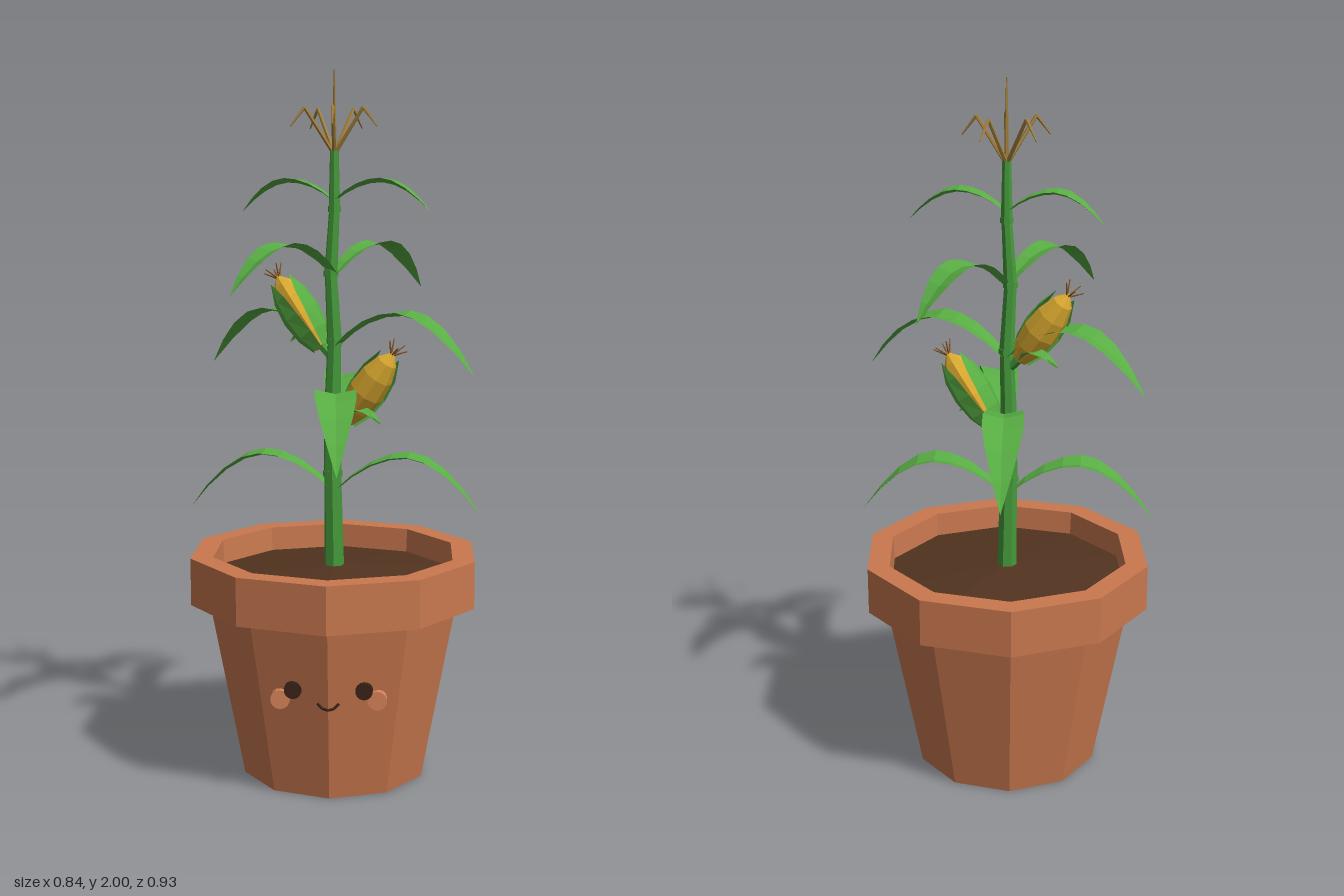
import * as THREE from 'three';

const V = (x, y, z) => new THREE.Vector3(x, y, z);
const UP = V(0, 1, 0);

function paint(name, color, side = THREE.FrontSide) {
  const m = new THREE.MeshStandardMaterial({ color, flatShading: true, side });
  m.name = name;
  return m;
}

const add = (parent, name, geometry, material) => {
  const mesh = new THREE.Mesh(geometry, material);
  mesh.name = name;
  parent.add(mesh);
  return mesh;
};

// tapered rod between two points
function rod(parent, name, a, b, ra, rb, sides, material) {
  const d = b.clone().sub(a);
  const mesh = add(parent, name, new THREE.CylinderGeometry(rb, ra, d.length(), sides), material);
  mesh.position.copy(a).add(b).multiplyScalar(0.5);
  mesh.quaternion.setFromUnitVectors(UP, d.normalize());
  return mesh;
}

// surface through rows of points that all have the same length
function skin(rows) {
  const n = rows[0].length, index = [];
  for (let i = 0; i < rows.length - 1; i++) {
    for (let j = 0; j < n - 1; j++) {
      const a = i * n + j, b = a + n;
      index.push(a, b, a + 1, b, b + 1, a + 1);
    }
  }
  const g = new THREE.BufferGeometry().setFromPoints(rows.flat());
  g.setIndex(index);
  g.computeVertexNormals();
  return g;
}

// arching blade with a shallow fold along its midrib
function leafGeometry(tipX, tipZ, peak, drop, half) {
  const t = [0, 0.12, 0.25, 0.38, 0.5, 0.62, 0.75, 0.88, 1];
  const w = [0.3, 0.55, 0.75, 0.9, 1, 1, 0.8, 0.45, 0];
  const length = Math.hypot(tipX, tipZ), sx = -tipZ / length, sz = tipX / length;
  return skin(t.map((s, i) => {
    const k = 2 * s - 1;
    const y = peak - (k < 0 ? 0.65 * drop * k * k : drop * Math.pow(k, 1.8));
    return [1, 0, -1].map(e => V(
      tipX * s + sx * e * half * w[i],
      y + (e ? 0 : -0.012 * w[i]),
      tipZ * s + sz * e * half * w[i]));
  }));
}

// husk panel lying against the cob
function huskGeometry(angle, length) {
  const v = [0, 0.2, 0.45, 0.7, 0.92];
  const r = [0.03, 0.05, 0.058, 0.052, 0.036];
  const spread = [0.9, 0.85, 0.75, 0.6, 0];
  return skin(v.map((s, i) => [-1, 0, 1].map(e => {
    const a = angle + e * spread[i];
    return V(Math.sin(a) * r[i], s * length, Math.cos(a) * r[i]);
  })));
}

export function createModel() {
  const model = new THREE.Group();
  model.name = 'pottedCornPlant';

  const terracotta = paint('terracotta', 0xc9784f);
  const earth = paint('soil', 0x52331f);
  const stalkGreen = paint('stalkGreen', 0x459a3b);
  const leafGreen = paint('leafGreen', 0x58ad43, THREE.DoubleSide);
  const kernel = paint('kernelYellow', 0xdcab30);
  const straw = paint('tasselStraw', 0xa5823f);
  const silkBrown = paint('silkBrown', 0x8c5a26);
  const dark = paint('faceDark', 0x3a2419);
  const blush = paint('cheekBlush', 0xdb855a);

  // ten-sided pot with a thick rim
  const profile = [[0, 0], [0.268, 0], [0.365, 0.51], [0.42, 0.51], [0.42, 0.645], [0.355, 0.645], [0.35, 0.56]];
  add(model, 'pot', new THREE.LatheGeometry(profile.map(p => new THREE.Vector2(...p)), 10), terracotta);
  const soil = add(model, 'soil', new THREE.ConeGeometry(0.354, 0.03, 10), earth);
  soil.position.y = 0.59;

  // face on the front of the pot
  const face = new THREE.Group();
  face.name = 'face';
  model.add(face);
  for (const s of [-1, 1]) {
    for (const [name, x, y, z, r, mat] of [
      ['eye', 0.097, 0.325, 0.302, 0.024, dark],
      ['cheek', 0.133, 0.295, 0.29, 0.027, blush]]) {
      const disc = add(face, name, new THREE.CylinderGeometry(r, r, 0.024, 14), mat);
      disc.rotation.x = Math.PI / 2;
      disc.position.set(s * x, y, z);
    }
    rod(face, 'mouth', V(0, 0.275, 0.325), V(s * 0.016, 0.278, 0.32), 0.004, 0.004, 5, dark);
    rod(face, 'mouth', V(s * 0.016, 0.278, 0.32), V(s * 0.029, 0.292, 0.318), 0.004, 0.004, 5, dark);
  }

  // jointed stalk
  const nodes = [[0, 0.58], [-0.005, 0.87], [-0.006, 1.05], [0, 1.25], [-0.01, 1.44], [0, 1.62], [0, 1.78]];
  nodes.slice(1).forEach(([x, y], i) => {
    const r = 0.029 - i * 0.0025;
    const a = V(nodes[i][0], nodes[i][1], 0), b = V(x, y, 0);
    rod(model, 'stalk', a, b, r, r - 0.004, 7, stalkGreen);
    if (i < 5) {
      const joint = add(model, 'stalkJoint', new THREE.CylinderGeometry(r, r, 0.016, 7), stalkGreen);
      joint.position.copy(b);
    }
  });

  // leaves in opposite pairs: tip x, tip z, peak height, droop, half width
  for (const leaf of [
    [0.42, 0.052, 0.93, 0.17, 0.052], [-0.42, -0.052, 0.93, 0.17, 0.052],
    [0.03, 0.464, 1.14, 0.2, 0.056], [0.03, -0.464, 1.14, 0.2, 0.056],
    [0.39, 0.172, 1.34, 0.17, 0.055], [-0.37, -0.197, 1.34, 0.17, 0.055],
    [0.245, -0.25, 1.53, 0.14, 0.048], [-0.265, 0.26, 1.53, 0.14, 0.048],
    [0.27, 0.055, 1.705, 0.095, 0.04], [-0.265, -0.055, 1.705, 0.095, 0.04]]) {
    add(model, 'leaf', leafGeometry(...leaf), leafGreen);
  }

  // two ears of corn on opposite sides of the stalk
  const cobProfile = [[0, 0], [0.024, 0.003], [0.043, 0.05], [0.051, 0.105], [0.046, 0.165], [0.03, 0.215], [0, 0.25]];
  for (const [lift, turn] of [[0, 0], [0.205, Math.PI]]) {
    const side = new THREE.Group();
    side.name = 'earOfCorn';
    side.position.y = lift;
    side.rotation.y = turn;
    model.add(side);
    rod(side, 'earStem', V(0, 0.99, 0), V(0.045, 1.04, 0.025), 0.014, 0.014, 6, stalkGreen);

    const ear = new THREE.Group();
    ear.name = 'ear';
    ear.position.set(0.035, 1.025, 0.02);
    ear.quaternion.setFromUnitVectors(UP, V(0.14, 0.21, 0.06).normalize());
    side.add(ear);
    add(ear, 'cob', new THREE.LatheGeometry(cobProfile.map(p => new THREE.Vector2(...p)), 8), kernel);
    for (const a of [2.25, 4.2]) add(ear, 'husk', huskGeometry(a, 0.25), leafGreen);

    // silk at the tip
    for (let i = 0; i < 5; i++) {
      const a = i * 1.257;
      rod(ear, 'silk', V(0, 0.235, 0),
        V(Math.sin(a) * 0.03, 0.275, Math.cos(a) * 0.03), 0.003, 0.0015, 4, silkBrown);
    }

    // husk peeled away and curling down
    const curl = new THREE.QuadraticBezierCurve3(V(0.045, 1.03, 0.035), V(0.06, 1.11, 0.11), V(0.135, 1.035, 0.13));
    const w = [0.018, 0.025, 0.026, 0.018, 0];
    add(side, 'peeledHusk', skin(curl.getPoints(4).map((p, i) => [1, 0, -1].map(e =>
      V(p.x + e * w[i] * 0.8, p.y - (e ? 0 : 0.005), p.z - e * w[i] * 0.6)))), leafGreen);
  }

  // tassel: a central spike and five drooping branches
  rod(model, 'tasselSpike', V(0, 1.76, 0), V(0, 2, 0), 0.008, 0.002, 5, straw);
  for (let i = 0; i < 5; i++) {
    const a = i * Math.PI * 0.4;
    const at = (r, y) => V(Math.sin(a) * r, y, Math.cos(a) * r);
    rod(model, 'tasselBranch', at(0, 1.77), at(0.085, 1.897), 0.006, 0.005, 5, straw);
    rod(model, 'tasselBranch', at(0.085, 1.897), at(0.126, 1.845), 0.005, 0.002, 5, straw);
  }

  return model;
}
